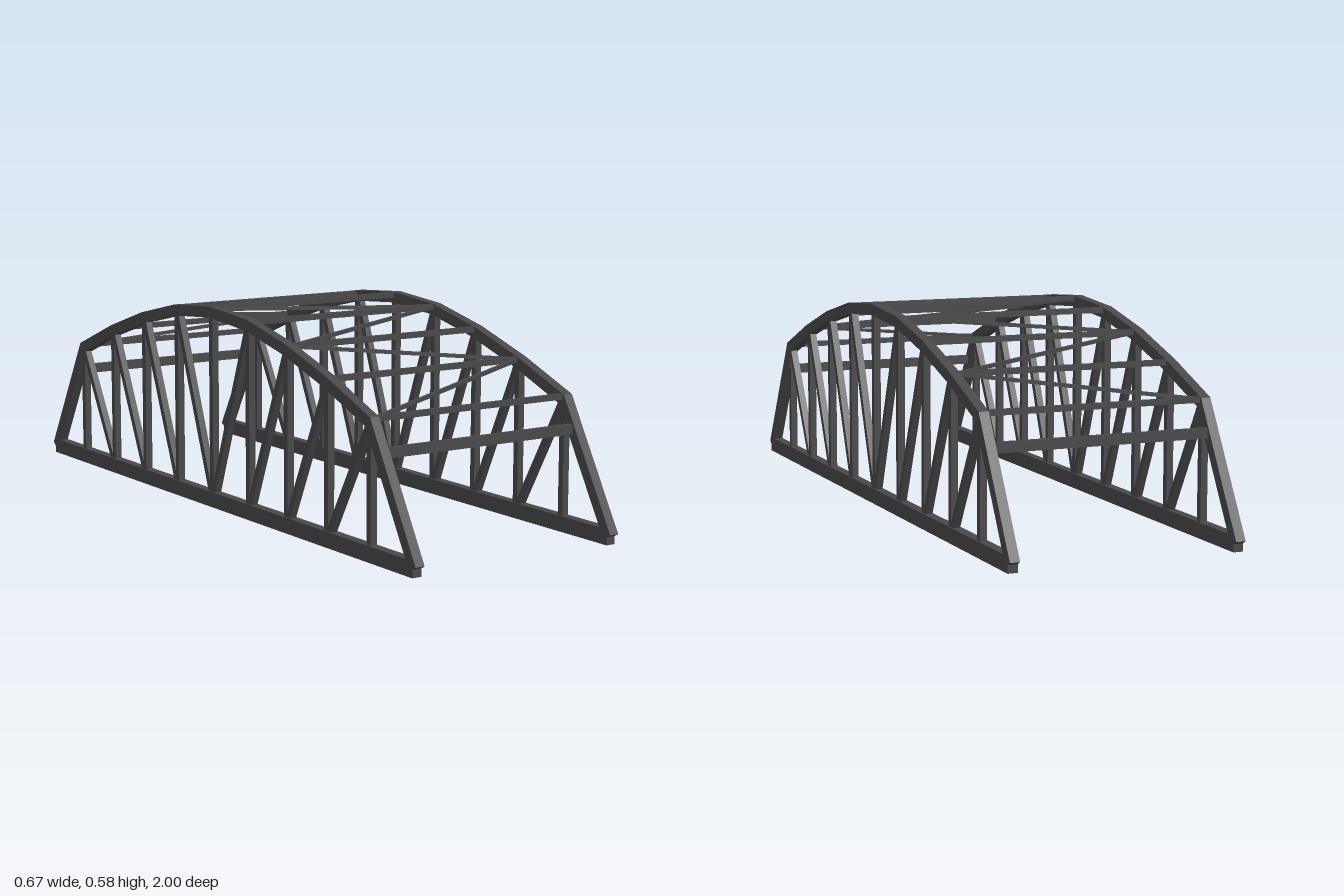
import * as THREE from 'three';

const TRUSS_X = 0.319, CHORD_W = 0.028, PANEL = 0.1965;
// Height of the upper chord at panel points 0..4 counted from midspan
const HEIGHTS = [0.564, 0.549, 0.505, 0.443, 0.367];
const END = new THREE.Vector2(0.984, 0.022);
const node = (i) => new THREE.Vector2(i * PANEL, HEIGHTS[Math.abs(i)]);

export function createModel() {
  const model = new THREE.Group();
  model.name = 'trussBridge';
  const steel = new THREE.MeshStandardMaterial({ color: 0x484848 });
  steel.name = 'darkSteel';

  // Square-cut bar between two points; w is the sideways width, h the depth
  function bar(name, a, b, w, h, parent) {
    const mesh = new THREE.Mesh(new THREE.BoxGeometry(w, h, a.distanceTo(b)), steel);
    mesh.name = name;
    mesh.position.copy(a).add(b).multiplyScalar(0.5);
    const dir = b.clone().sub(a).normalize();
    const up = Math.abs(dir.y) > 0.99 ? new THREE.Vector3(0, 0, 1) : new THREE.Vector3(0, 1, 0);
    const side = up.cross(dir).normalize();
    mesh.quaternion.setFromRotationMatrix(
      new THREE.Matrix4().makeBasis(side, dir.clone().cross(side), dir));
    parent.add(mesh);
  }

  // Mitred arch outline: offset the chord centreline to both sides
  function archGeometry() {
    const line = [new THREE.Vector2(-END.x, END.y)];
    for (let i = -4; i <= 4; i++) line.push(node(i));
    line.push(END.clone());
    const half = 0.016, upper = [], lower = [];
    const normal = (p, q) => {
      const d = q.clone().sub(p).normalize();
      return new THREE.Vector2(-d.y, d.x);
    };
    line.forEach((p, i) => {
      const n1 = normal(line[Math.max(i - 1, 0)], line[Math.max(i, 1)]);
      const last = line.length - 1;
      const n2 = normal(line[Math.min(i, last - 1)], line[Math.min(i + 1, last)]);
      const m = n1.clone().add(n2).normalize();
      m.multiplyScalar(half / m.dot(n1));
      upper.push(p.clone().add(m));
      lower.unshift(p.clone().sub(m));
    });
    const geo = new THREE.ExtrudeGeometry(new THREE.Shape([...upper, ...lower]),
      { depth: CHORD_W, bevelEnabled: false });
    geo.translate(0, 0, -CHORD_W / 2);
    return geo.rotateY(Math.PI / 2);
  }
  const arch = archGeometry();

  // Two side trusses
  for (const s of [1, -1]) {
    const truss = new THREE.Group();
    truss.name = s > 0 ? 'leftTruss' : 'rightTruss';
    truss.position.x = s * TRUSS_X;
    model.add(truss);

    const upperChord = new THREE.Mesh(arch, steel);
    upperChord.name = 'upperChord';
    truss.add(upperChord);
    bar('lowerChord', new THREE.Vector3(0, 0.022, -END.x), new THREE.Vector3(0, 0.022, END.x),
      CHORD_W, 0.044, truss);

    for (let i = -4; i <= 4; i++) {
      const n = node(i), top = new THREE.Vector3(0, n.y, n.x);
      bar('vertical', new THREE.Vector3(0, 0.022, n.x), top, 0.02, 0.019, truss);
      if (i !== 0) {
        const foot = new THREE.Vector3(0, 0.022, (i - Math.sign(i)) * PANEL);
        bar('diagonal', top, foot, 0.02, 0.019, truss);
      }
    }
  }

  // Overhead struts with zigzag bracing between the upper chords
  const overhead = new THREE.Group();
  overhead.name = 'overheadBracing';
  model.add(overhead);
  const at = (i, x) => new THREE.Vector3(x, node(i).y + 0.007, node(i).x);
  const zigzag = (i) => (i % 2 === 0 ? -0.312 : 0.312);
  for (let i = -4; i <= 4; i++) {
    bar('strut', at(i, -0.312), at(i, 0.312), 0.012, 0.016, overhead);
    if (i < 4) bar('brace', at(i, zigzag(i)), at(i + 1, zigzag(i + 1)), 0.01, 0.01, overhead);
  }

  // Portal beams across the sloping end posts
  for (const z of [-0.829, 0.829]) {
    bar('portalBeam', new THREE.Vector3(-0.312, 0.291, z), new THREE.Vector3(0.312, 0.291, z),
      0.014, 0.028, overhead);
  }
  return model;
}
